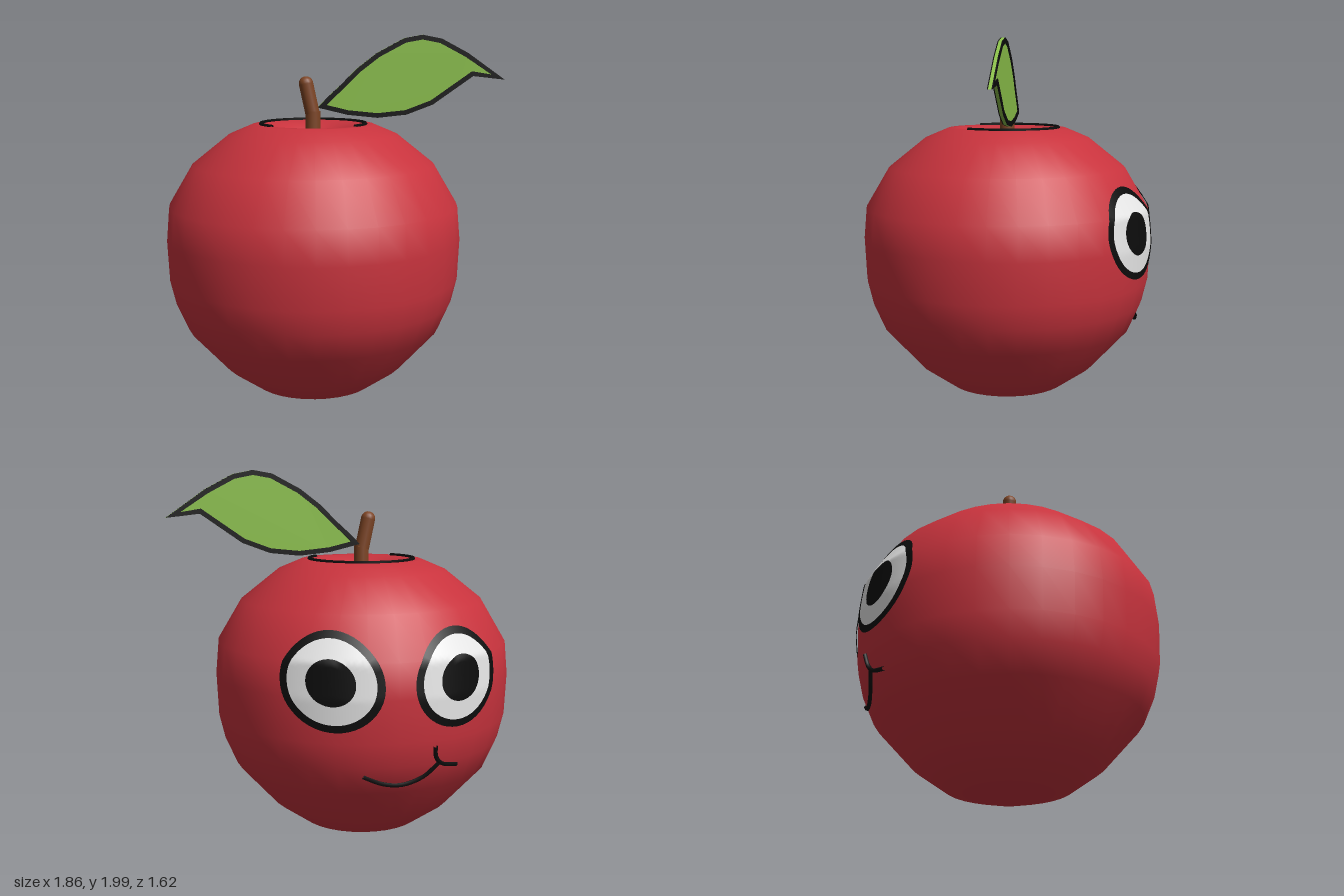
import * as THREE from 'three';

const mat = (name, color, side = THREE.FrontSide) => {
  const m = new THREE.MeshStandardMaterial({ color, side });
  m.name = name;
  return m;
};

// Body profile from the underside up to the rim: [radius, height]
const OUTER = [[0, 0], [0.15, 0.01], [0.33, 0.06], [0.5, 0.18], [0.7, 0.4], [0.765, 0.55],
  [0.796, 0.68], [0.806, 0.9], [0.79, 1.08], [0.66, 1.3], [0.46, 1.46], [0.33, 1.515]];
// Hollow around the stem
const DIMPLE = [[0.27, 1.515], [0.2, 1.49], [0.13, 1.44], [0.06, 1.38], [0, 1.36]];

function radiusAt(y) {
  for (let i = 1; i < OUTER.length; i++) {
    const [r0, y0] = OUTER[i - 1], [r1, y1] = OUTER[i];
    if (y <= y1) return r0 + (r1 - r0) * (y - y0) / (y1 - y0);
  }
  return 0.33;
}

// Point on the skin; the angle is measured from -z towards -x
function onSkin(angle, y, lift) {
  const r = radiusAt(y) + lift;
  return new THREE.Vector3(-r * Math.sin(angle), y, -r * Math.cos(angle));
}

// Oval band wrapped on the skin, from inner scale s0 to outer scale s1
function eyeBand(side, s0, s1, lift) {
  const steps = 48, rings = 6, pos = [], idx = [];
  for (let j = 0; j <= rings; j++) {
    const s = s0 + (s1 - s0) * j / rings;
    for (let i = 0; i <= steps; i++) {
      const t = i / steps * Math.PI * 2;
      const dy = 0.245 * s * Math.sin(t);
      const angle = 0.425 + 0.33 * s * Math.cos(t) + 0.12 * dy;
      pos.push(...onSkin(side * angle, 0.985 + dy, lift).toArray());
      if (j < rings && i < steps) {
        const a = j * (steps + 1) + i, b = a + 1, c = a + steps + 1, d = c + 1;
        if (side > 0) idx.push(a, b, c, b, d, c);
        else idx.push(a, c, b, b, c, d);
      }
    }
  }
  const g = new THREE.BufferGeometry();
  g.setAttribute('position', new THREE.Float32BufferAttribute(pos, 3));
  g.setIndex(idx);
  g.computeVertexNormals();
  // Make every face point away from the body
  const n = g.attributes.normal, p = g.attributes.position, k = 3 * (steps + 1) + 5;
  if (n.getX(k) * p.getX(k) + n.getZ(k) * p.getZ(k) < 0) {
    g.setIndex(idx.slice().reverse());
    g.computeVertexNormals();
  }
  return g;
}

// Tube drawn on the skin through [degrees, height] points
function skinLine(points) {
  const pts = points.map(([deg, y]) => onSkin(THREE.MathUtils.degToRad(deg), y, 0.004));
  return new THREE.TubeGeometry(new THREE.CatmullRomCurve3(pts), 24, 0.011, 6);
}

export function createModel() {
  const model = new THREE.Group();
  model.name = 'appleWithFace';
  const red = mat('skinRed', 0xc8333d);
  const black = mat('lineBlack', 0x0c0c0c, THREE.DoubleSide);
  const white = mat('eyeWhite', 0xf2f2f2);
  const brown = mat('stemBrown', 0x7c4424);
  const green = mat('leafGreen', 0x8bc04a);

  const apple = new THREE.Group();
  apple.name = 'apple';
  apple.position.x = -0.13;
  model.add(apple);
  const add = (name, geometry, material, parent = apple) => {
    const m = new THREE.Mesh(geometry, material);
    m.name = name;
    parent.add(m);
    return m;
  };

  // Body
  const profile = [...OUTER, ...DIMPLE].map(([r, y]) => new THREE.Vector2(r, y));
  add('body', new THREE.LatheGeometry(profile, 32), red);

  // Open line around the hollow, with the gap at the front
  const arc = THREE.MathUtils.degToRad(260);
  const rim = new THREE.TorusGeometry(0.285, 0.011, 6, 48, arc);
  rim.rotateZ(Math.PI / 2 - arc / 2).rotateX(-Math.PI / 2);
  add('rimLine', rim, black).position.y = 1.517;

  // Stem: straight foot and leaning rounded top
  add('stemFoot', new THREE.CylinderGeometry(0.04, 0.042, 0.24, 16), brown).position.set(-0.001, 1.465, 0);
  const top = add('stemTop', new THREE.CapsuleGeometry(0.039, 0.16, 6, 16), brown);
  top.position.set(-0.021, 1.655, 0);
  top.rotation.z = 0.21;

  // Eyes
  for (const side of [1, -1]) {
    const eye = new THREE.Group();
    eye.name = side > 0 ? 'rightEye' : 'leftEye';
    apple.add(eye);
    add('eyeOutline', eyeBand(side, 0.85, 1, 0.011), black, eye);
    add('eyeball', eyeBand(side, 0.47, 0.85, 0.011), white, eye);
    add('pupil', eyeBand(side, 0, 0.47, 0.011), black, eye);
  }

  // Smile and cheek crease
  add('smile', skinLine([[-13, 0.505], [-5, 0.46], [3, 0.45], [11, 0.485], [17, 0.56]]), black);
  add('cheek', skinLine([[14, 0.65], [15, 0.59], [18, 0.55], [26, 0.525]]), black);

  // Leaf: green slab with a thin dark border on both faces
  const outline = [[-0.105, 1.6], [-0.04, 1.665], [0.026, 1.725], [0.11, 1.81], [0.22, 1.895], [0.37, 1.975],
    [0.47, 1.993], [0.575, 1.972], [0.72, 1.895], [0.925, 1.75], [0.75, 1.77], [0.665, 1.71],
    [0.53, 1.615], [0.385, 1.56], [0.225, 1.543], [0.06, 1.56]].map(([x, y]) => new THREE.Vector2(x, y));
  // Inset each corner along its bisector, limited at the sharp tips
  const inset = outline.map((p, i) => {
    const a = outline[(i + outline.length - 1) % outline.length], b = outline[(i + 1) % outline.length];
    const d0 = p.clone().sub(a).normalize(), d1 = b.clone().sub(p).normalize();
    const n0 = new THREE.Vector2(d0.y, -d0.x), n1 = new THREE.Vector2(d1.y, -d1.x);
    const n = n0.clone().add(n1).normalize();
    return p.clone().addScaledVector(n, Math.min(0.025 / Math.max(n.dot(n0), 0.1), 0.08));
  });
  const leaf = new THREE.Group();
  leaf.name = 'leaf';
  model.add(leaf);
  const slab = (shape, depth) => new THREE.ExtrudeGeometry(shape, { depth, bevelEnabled: false });
  add('leafBlade', slab(new THREE.Shape(outline), 0.016), green, leaf).position.z = -0.066;
  const border = new THREE.Shape(outline);
  border.holes.push(new THREE.Path(inset));
  for (const z of [-0.05, -0.071]) add('leafBorder', slab(border, 0.005), black, leaf).position.z = z;

  return model;
}
